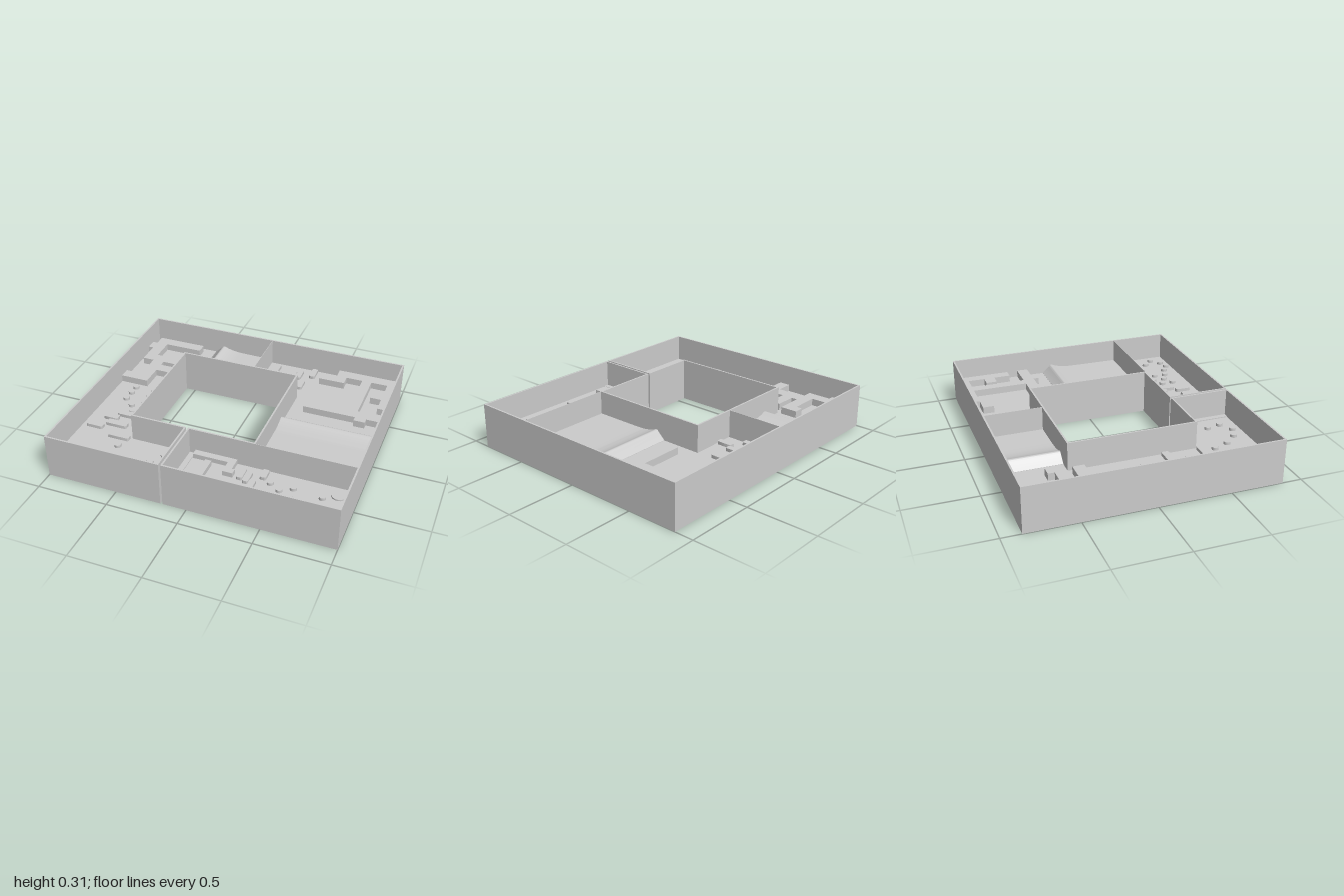
import * as THREE from 'three';
import { toCreasedNormals } from 'three/addons/utils/BufferGeometryUtils.js';

const FLOOR = 0.12, TOP = 0.315, WALL = 0.012;
const material = new THREE.MeshStandardMaterial({ color: 0xcccccc });

// Plan points (x, z) in hundredths of a unit
const planPoints = (flat) => {
  const pts = [];
  for (let i = 0; i < flat.length; i += 2) pts.push(new THREE.Vector2(flat[i] / 100, -flat[i + 1] / 100));
  return pts;
};

// Square loop of corridor, cut by a narrow slit in front, shrunk by an inset
function corridorPoints(i) {
  const x = 1 - i, z = 0.865 - i;
  const l = -0.57 - i, r = 0.30 + i, b = -0.44 - i, f = 0.43 + i;
  const s0 = -0.18 - i, s1 = -0.165 + i;
  return planPoints([s0, z, -x, z, -x, -z, x, -z, x, z, s1, z, s1, f, r, f, r, b, l, b, l, f, s0, f]
    .map((v) => v * 100));
}

// Extrudes a plan shape upward from y0 to y1
function rise(shape, y0, y1) {
  const geo = new THREE.ExtrudeGeometry(shape, { depth: y1 - y0, bevelEnabled: false, curveSegments: 6 });
  geo.rotateX(-Math.PI / 2);
  geo.translate(0, y0, 0);
  return geo;
}

export function createModel() {
  const model = new THREE.Group();
  const add = (name, geo, x = 0, y = 0, z = 0) => {
    const mesh = new THREE.Mesh(geo, material);
    mesh.name = name;
    mesh.position.set(x, y, z);
    model.add(mesh);
    return mesh;
  };
  const box = (name, x0, x1, y0, y1, z0, z1) =>
    add(name, new THREE.BoxGeometry(x1 - x0, y1 - y0, z1 - z0), (x0 + x1) / 2, (y0 + y1) / 2, (z0 + z1) / 2);

  // Thick base and thin perimeter walls (hole wound opposite to the outline)
  add('base', rise(new THREE.Shape(corridorPoints(0)), 0, FLOOR));
  const wallShape = new THREE.Shape(corridorPoints(0));
  wallShape.holes.push(new THREE.Path(corridorPoints(WALL).reverse()));
  add('perimeterWall', rise(wallShape, FLOOR, TOP));

  // Cross partitions
  box('backPartition', -0.022, -0.019, FLOOR, TOP, -0.855, -0.45);
  box('sidePartition', 0.31, 0.99, FLOOR, TOP, 0.439, 0.442);

  // Low strips next to the slit
  box('startStrip', -0.155, -0.115, FLOOR - 0.005, FLOOR + 0.006, 0.44, 0.855);
  box('finishStrip', -0.23, -0.19, FLOOR - 0.005, FLOOR + 0.006, 0.44, 0.855);

  // Humps: steep rise, rounded crest, long raised run-out
  function hump(length, width) {
    const s = new THREE.Shape();
    s.moveTo(0, FLOOR - 0.01);
    s.lineTo(0, FLOOR + 0.002);
    s.lineTo(0.05, 0.168);
    s.splineThru([[0.058, 0.177], [0.07, 0.181], [0.084, 0.177], [0.11, 0.167], [0.16, 0.156], [0.24, 0.15], [length, 0.148]]
      .map(([x, y]) => new THREE.Vector2(x, y)));
    s.lineTo(length, FLOOR - 0.01);
    const geo = new THREE.ExtrudeGeometry(s, { depth: width, bevelEnabled: false, curveSegments: 4 });
    return toCreasedNormals(geo, 0.5);
  }
  add('backHump', hump(0.468, 0.405), -0.49, 0, -0.855);
  add('sideHump', hump(0.598, 0.68), 0.99, 0, -0.16).rotation.y = -Math.PI / 2;

  // Angular maze blocks
  const mazes = {
    leftMaze: [-99.5, -73, -95, -73, -95, -81.5, -58.5, -81.5, -58.5, -73.5, -86.5, -73.5, -86.5, -56, -66, -56,
      -66, -60.5, -58.5, -60.5, -58.5, -48, -78, -48, -78, -43.5, -62.5, -43.5, -62.5, -35.5, -78, -35.5, -78, -19,
      -99.5, -19, -99.5, -27, -86.5, -27, -86.5, -48, -95, -48, -95, -65, -99.5, -65],
    rightMaze: [52.5, -85.5, 52.5, -77, 41, -77, 41, -69, 60, -69, 60, -77, 72, -77, 72, -37, 41, -37, 41, -29,
      79, -29, 79, -25, 87, -25, 87, -29, 98.5, -29, 98.5, -37, 79, -37, 79, -77, 91, -77, 91, -65,
      83, -65, 83, -57, 91, -57, 91, -45, 98.5, -45, 98.5, -85.5],
    frontMazeCorner: [-11, 44, 19, 44, 19, 54.5, 21, 54.5, 21, 59, 14, 59, 14, 49, -11, 49],
    frontMazeBranch: [-1, 51.5, 3.5, 51.5, 3.5, 69, 21, 69, 21, 73.5, 3.5, 73.5, 3.5, 79, -6, 79, -6, 74, -1, 74],
  };
  for (const [name, pts] of Object.entries(mazes)) {
    add(name, rise(new THREE.Shape(planPoints(pts)), FLOOR - 0.005, name.startsWith('front') ? 0.155 : 0.17));
  }

  // Rounded slabs, w along x and d along z
  function slab(x, z, w, d) {
    const r = 0.012, a = w / 2, b = d / 2, s = new THREE.Shape();
    s.absarc(a - r, b - r, r, 0, Math.PI / 2);
    s.absarc(-a + r, b - r, r, Math.PI / 2, Math.PI);
    s.absarc(-a + r, -b + r, r, Math.PI, Math.PI * 1.5);
    s.absarc(a - r, -b + r, r, Math.PI * 1.5, Math.PI * 2);
    add('slab', toCreasedNormals(rise(s, FLOOR - 0.005, 0.143), 0.6), x, 0, z);
  }
  const uprightSlabs = [[0.005, -0.65], [0.053, -0.755], [0.10, -0.515], [0.147, -0.623], [0.195, -0.72],
    [0.24, -0.738], [0.289, -0.615], [0.337, -0.79], [0.257, 0.543], [0.305, 0.564], [0.352, 0.639], [0.305, 0.746]];
  for (const [x, z] of uprightSlabs) slab(x, z, 0.043, 0.11);
  slab(0.40, 0.50, 0.043, 0.086);
  for (const [x, z, w] of [[-0.70, 0.21, 0.214], [-0.829, 0.273, 0.107], [-0.754, 0.337, 0.155],
    [-0.893, 0.398, 0.123], [-0.674, 0.46, 0.155]]) slab(x, z, w, 0.05);

  // Round studs
  const studs = [[-0.77, 0.083], [-0.727, 0.152], [-0.636, 0.556], [-0.594, 0.666], [-0.513, 0.757],
    [-0.422, 0.794], [-0.332, 0.74], [-0.353, 0.639], [-0.294, 0.548], [0.535, 0.607], [0.535, 0.693],
    [0.813, 0.58], [0.845, 0.666], [0.909, 0.735], [0.845, 0.794], [0.77, 0.813], [0.70, 0.767]];
  for (const x of [-0.845, -0.70]) for (const z of [-0.14, -0.065, 0.019]) studs.push([x, z]);
  for (const x of [0.46, 0.615]) for (const z of [0.559, 0.65, 0.735]) studs.push([x, z]);
  const studGeo = new THREE.CylinderGeometry(0.023, 0.023, 0.025, 24);
  for (const [x, z] of studs) add('stud', studGeo, x, FLOOR + 0.0075, z);

  // Large corner disc
  add('cornerDisc', new THREE.CylinderGeometry(0.051, 0.051, 0.02, 32), 0.904, FLOOR, 0.516);

  return model;
}
